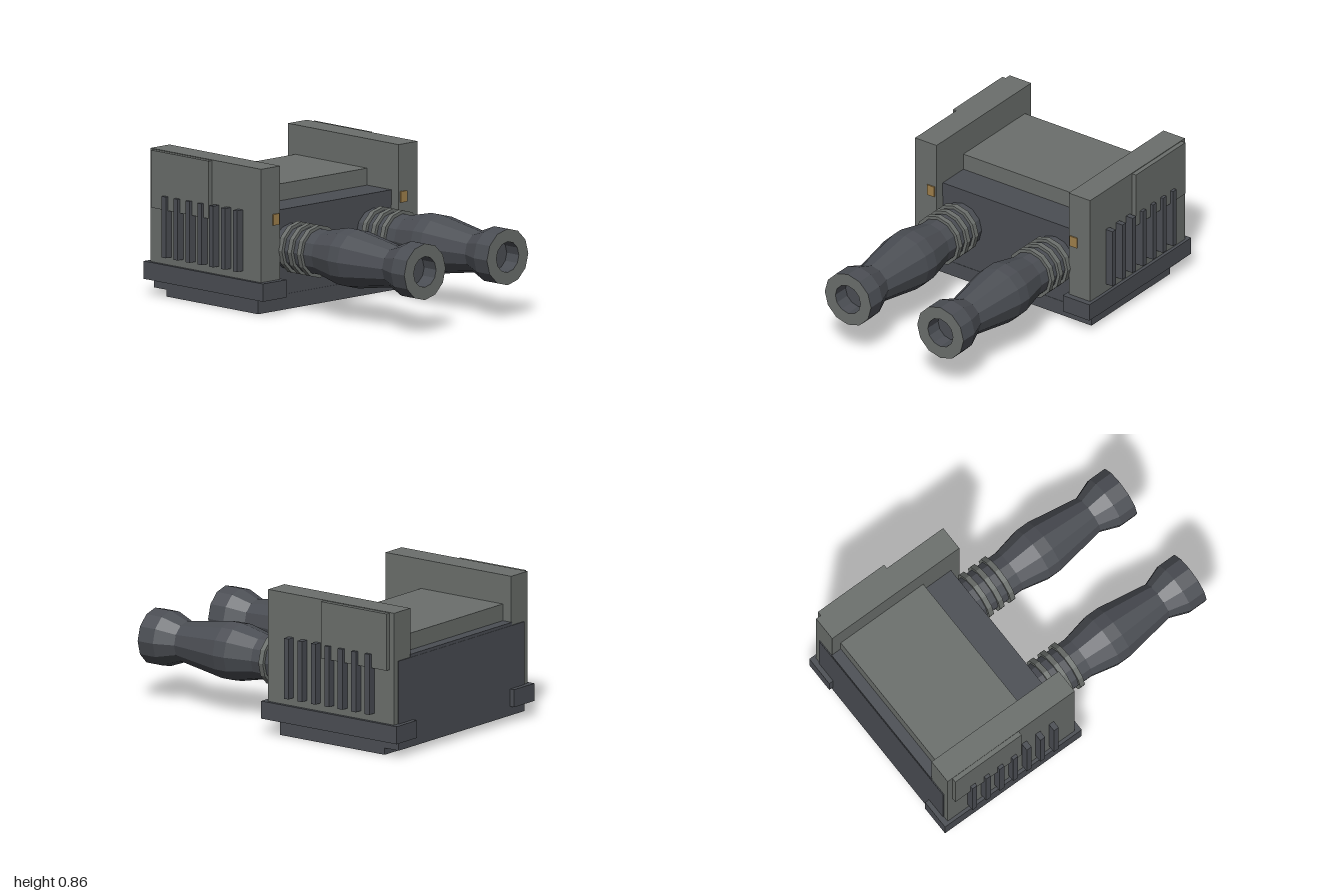
import * as THREE from 'three';

export function createModel() {
  const model = new THREE.Group();
  model.name = 'twinBarrelUnit';

  const dark = new THREE.MeshStandardMaterial({ color: 0x4b4e54 });
  dark.name = 'dark slate';
  const grey = new THREE.MeshStandardMaterial({ color: 0x6b6f6c });
  grey.name = 'warm grey';
  const gold = new THREE.MeshStandardMaterial({ color: 0xa0804b });
  gold.name = 'gold';

  // Box given by its extents on each axis
  function box(parent, name, mat, [x0, x1], [y0, y1], [z0, z1]) {
    const mesh = new THREE.Mesh(new THREE.BoxGeometry(x1 - x0, y1 - y0, z1 - z0), mat);
    mesh.position.set((x0 + x1) / 2, (y0 + y1) / 2, (z0 + z1) / 2);
    mesh.name = name;
    parent.add(mesh);
  }

  // Faceted 12-sided turned part along +z from [radius, z] points
  function turned(parent, name, mat, profile) {
    const points = profile.map(([r, z]) => new THREE.Vector2(r, z));
    const geo = new THREE.LatheGeometry(points, 12).rotateX(Math.PI / 2).toNonIndexed();
    geo.computeVertexNormals();
    const mesh = new THREE.Mesh(geo, mat);
    mesh.name = name;
    parent.add(mesh);
  }

  // Central body
  box(model, 'base', dark, [-0.59, 0.59], [0, 0.09], [-0.87, -0.11]);
  box(model, 'body', dark, [-0.59, 0.59], [0.04, 0.57], [-0.972, -0.112]);
  box(model, 'bodyTop', dark, [-0.475, 0.475], [0.5, 0.588], [-0.97, -0.11]);
  box(model, 'topCover', grey, [-0.472, 0.472], [0.58, 0.687], [-0.905, -0.31]);

  for (const side of [1, -1]) {
    const half = new THREE.Group();
    half.name = side > 0 ? 'leftSide' : 'rightSide';
    model.add(half);
    const span = (a, b) => (side > 0 ? [a, b] : [-b, -a]);

    // Side wall, foot rail and raised panel
    box(half, 'sideWall', grey, span(0.472, 0.625), [0.19, 0.86], [-0.966, -0.05]);
    box(half, 'footRail', dark, span(0.455, 0.645), [0.093, 0.197], [-1, -0.015]);
    box(half, 'raisedPanel', grey, span(0.6, 0.653), [0.52, 0.856], [-0.932, -0.455]);
    box(half, 'indicator', gold, span(0.484, 0.535), [0.52, 0.585], [-0.051, -0.042]);

    // Vent fins
    for (let i = 0; i < 7; i++) {
      const z = -0.218 - i * 0.098;
      box(half, 'ventFin', dark, span(0.6, 0.672), [0.245, 0.603], [z - 0.017, z + 0.017]);
    }

    // Barrel with collar rings and a hollow muzzle
    const barrel = new THREE.Group();
    barrel.name = 'barrel';
    barrel.position.set(side * 0.33, 0.365, 0);
    half.add(barrel);
    turned(barrel, 'barrelTube', dark, [
      [0.135, -0.13], [0.135, 0.2], [0.172, 0.37], [0.172, 0.45],
      [0.12, 0.77], [0.165, 0.89], [0.165, 1],
    ]);
    turned(barrel, 'muzzleFace', grey, [[0.165, 1], [0.09, 1]]);
    turned(barrel, 'muzzleBore', dark, [[0.09, 1], [0.09, 0.9], [0, 0.9]]);
    for (const z of [-0.04, 0.037, 0.115]) {
      turned(barrel, 'collarRing', grey, [
        [0.13, z - 0.016], [0.154, z - 0.016], [0.154, z + 0.016], [0.13, z + 0.016],
      ]);
    }
  }

  return model;
}
